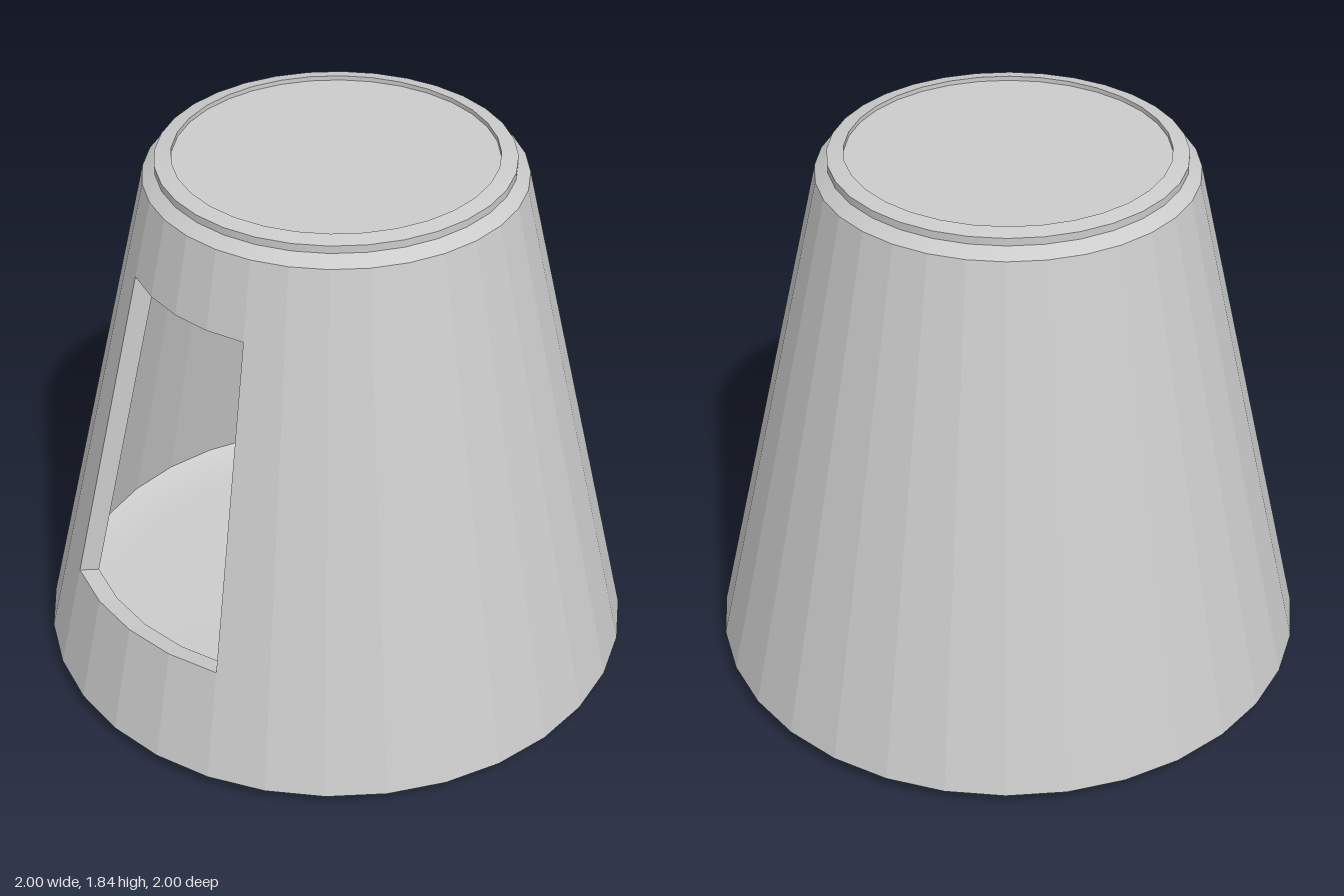
import * as THREE from 'three';

const SIDES = 32;
const STEP = (Math.PI * 2) / SIDES;
const HALF = STEP * 2; // half angle of the window opening
const WALL = 0.068;

// Outer wall radius at a height, and points on the outer and inner wall
const radius = (y) => 1 - ((y - 0.05) * 0.395) / 1.72;
const outer = (y) => [radius(y), y];
const inner = (y) => [radius(y) - WALL, y];

const flat = new THREE.MeshStandardMaterial({ color: 0xcccccc, flatShading: true });
const smooth = new THREE.MeshStandardMaterial({ color: 0xcccccc });
const thin = new THREE.MeshStandardMaterial({ color: 0xcccccc, side: THREE.DoubleSide });

export function createModel() {
  const model = new THREE.Group();

  function add(name, geometry, material) {
    const mesh = new THREE.Mesh(geometry, material);
    mesh.name = name;
    model.add(mesh);
    return mesh;
  }

  // Revolves a profile; runs counter-clockwise around the solid section
  function turn(name, profile, material, start = 0, segments = SIDES) {
    const points = profile.map(([r, y]) => new THREE.Vector2(r, y));
    return add(name, new THREE.LatheGeometry(points, segments, start, segments * STEP), material);
  }

  // Shallow dished underside
  turn('base', [[0, 0], [0.8, 0], [1, 0.05]], smooth);

  // Tapered shell: closed around the sides and back, open at the window
  const sill = 0.425, sillIn = 0.41, lintel = 1.518, lintelIn = 1.505;
  const bottom = 0.05, top = 1.77, floorY = 0.12, ceilingY = 1.7;
  const around = SIDES - 4;
  turn('outerWall', [outer(bottom), outer(top)], flat, HALF, around);
  turn('innerWall', [inner(ceilingY), inner(floorY)], flat, HALF, around);

  // Front wall below and above the window, with sill and lintel
  turn('wallBelowWindow', [outer(bottom), outer(sill), inner(sillIn), inner(floorY)], flat, -HALF, 4);
  turn('wallAboveWindow', [inner(ceilingY), inner(lintelIn), outer(lintel), outer(top)], flat, -HALF, 4);

  // Window jambs
  for (const side of [-1, 1]) {
    const corners = [outer(sill), outer(lintel), inner(lintelIn), inner(sillIn)];
    const shape = new THREE.Shape(corners.map(([r, y]) => new THREE.Vector2(r, y)));
    const jamb = add(side > 0 ? 'leftJamb' : 'rightJamb', new THREE.ShapeGeometry(shape), thin);
    jamb.rotation.y = side * HALF - Math.PI / 2;
  }

  // Interior floor and ceiling
  turn('floor', [inner(floorY), [0.78, 0.07], [0, 0.07]], smooth);
  turn('ceiling', [[0, ceilingY], inner(ceilingY)], smooth);

  // Stepped rim around a slightly sunken lid, one crisp ring per step
  const rim = [outer(top), [0.565, 1.8], [0.565, 1.825], [0.512, 1.835], [0.512, 1.82], [0, 1.82]];
  const names = ['shoulder', 'rimSide', 'rimTop', 'rimInside', 'lid'];
  names.forEach((name, i) => turn(name, [rim[i], rim[i + 1]], smooth));

  return model;
}
